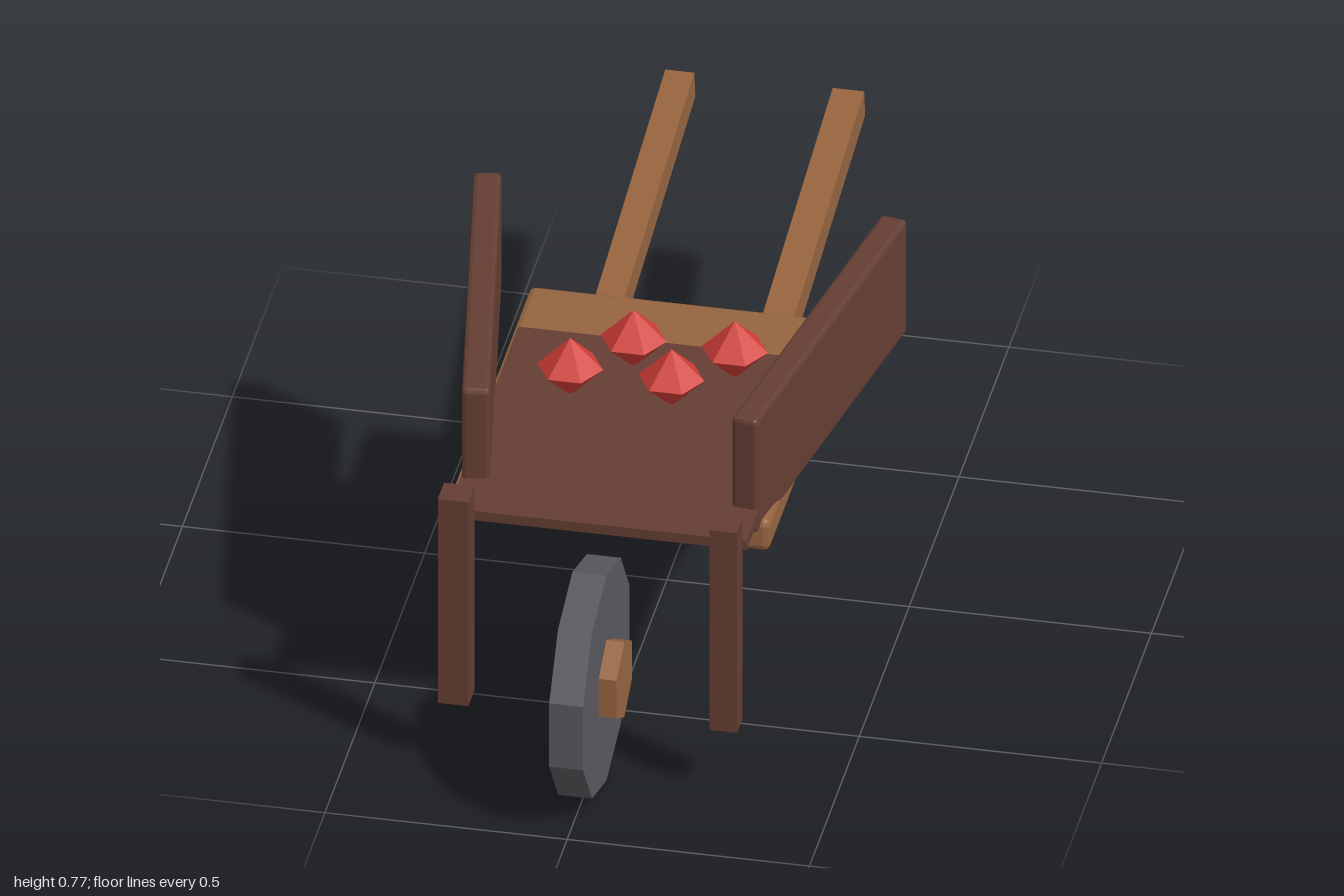
import * as THREE from 'three';
import { RoundedBoxGeometry } from 'three/addons/geometries/RoundedBoxGeometry.js';

export function createModel() {
  const cart = new THREE.Group();
  cart.name = 'wheelbarrow';

  const material = (name, color) => {
    const m = new THREE.MeshStandardMaterial({ color, flatShading: true });
    m.name = name;
    return m;
  };
  const lightWood = material('lightWood', 0x96643f);
  const darkWood = material('darkWood', 0x643e33);
  const iron = material('iron', 0x58595f);
  const red = material('red', 0xd23d38);

  const add = (name, geometry, mat, x, y, z) => {
    const mesh = new THREE.Mesh(geometry, mat);
    mesh.name = name;
    mesh.position.set(x, y, z);
    cart.add(mesh);
    return mesh;
  };
  const box = (w, h, d) => new THREE.BoxGeometry(w, h, d);
  const chamferBox = (w, h, d, c) => new RoundedBoxGeometry(w, h, d, 1, c);

  // Upright disc along x with one corner pointing up
  const disc = (radius, width, sides) =>
    new THREE.CylinderGeometry(radius, radius, width, sides, 1, false, Math.PI / 2).rotateZ(Math.PI / 2);

  // Bed: chamfered base with a thin board on top
  add('base', chamferBox(0.655, 0.071, 0.785, 0.013), lightWood, -0.003, 0.483, 0.157);
  add('bedBoard', box(0.615, 0.022, 0.7), darkWood, -0.003, 0.544, 0.331);

  // Side planks, splayed outwards towards the back
  for (const [name, side, x] of [['leftPlank', 1, 0.346], ['rightPlank', -1, -0.351]]) {
    const plank = add(name, chamferBox(0.057, 0.268, 0.828, 0.009), darkWood, x, 0.632, 0.153);
    plank.rotation.y = -side * THREE.MathUtils.degToRad(10);
  }

  // Front posts
  add('leftPost', box(0.057, 0.478, 0.057), darkWood, 0.276, 0.394, 0.748);
  add('rightPost', box(0.063, 0.488, 0.063), darkWood, -0.281, 0.394, 0.748);

  // Handles rising to the back
  for (const [name, x, width] of [['leftHandle', 0.171, 0.065], ['rightHandle', -0.177, 0.06]]) {
    const handle = add(name, box(width, 0.064, 0.882), lightWood, x, 0.484, -0.558);
    handle.rotation.x = THREE.MathUtils.degToRad(8.5);
  }

  // Wheel with a hub on its left side
  add('wheel', disc(0.2455, 0.07, 10), iron, -0.002, 0.2455, 0.767);
  add('hub', disc(0.09, 0.06, 6), lightWood, 0.04, 0.247, 0.767);

  // Gems lying on the board
  for (const [x, z] of [[-0.055, 0.067], [0.154, 0.067], [-0.159, 0.197], [0.05, 0.197]]) {
    add('gem', new THREE.SphereGeometry(0.068, 6, 2), red, x, 0.613, z);
  }

  return cart;
}
